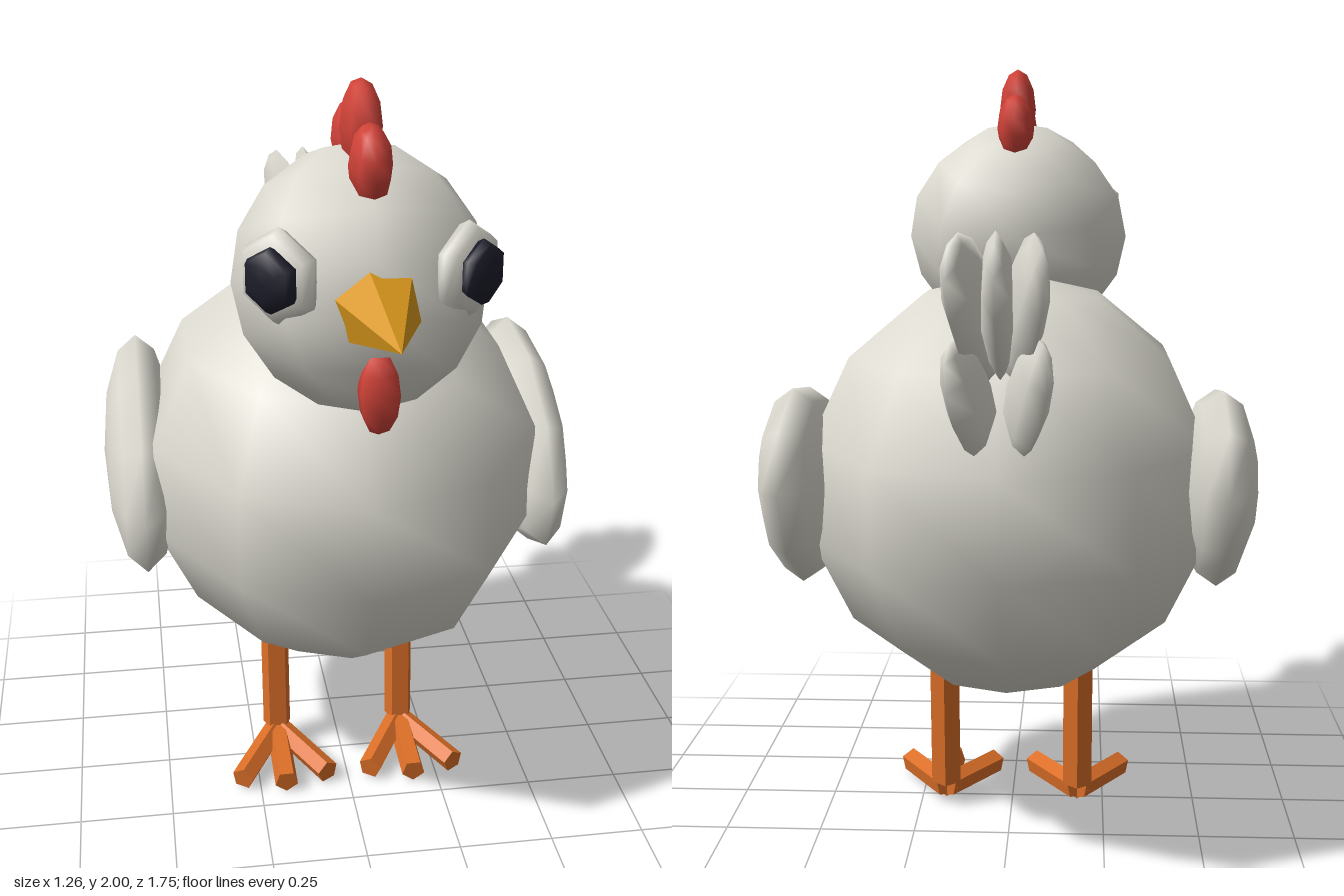
import * as THREE from 'three';

const mat = (name, color, flatShading = false) => {
  const m = new THREE.MeshStandardMaterial({ color, flatShading });
  m.name = name;
  return m;
};

export function createModel() {
  const feather = mat('feather white', 0xdcdad0);
  const red = mat('comb red', 0xcf4238);
  const gold = mat('beak gold', 0xd6961c, true);
  const orange = mat('leg orange', 0xdb6f28, true);
  const dark = mat('pupil dark', 0x1d1d2b);

  const model = new THREE.Group();
  model.name = 'chicken';

  const add = (name, geometry, material, pos = [0, 0, 0], rot = [0, 0, 0]) => {
    const mesh = new THREE.Mesh(geometry, material);
    mesh.name = name;
    mesh.position.set(...pos);
    mesh.rotation.set(...rot);
    model.add(mesh);
    return mesh;
  };

  // low-poly ellipsoid with a vertical pole and a vertex on the z axis
  const ellipsoid = (rx, ry, rz, w, h) =>
    new THREE.SphereGeometry(1, w, h).rotateY(Math.PI / 2).scale(rx, ry, rz);

  // five-sided rod between two points
  const rod = (name, from, to, r) => {
    const a = new THREE.Vector3(...from), b = new THREE.Vector3(...to);
    const dir = b.clone().sub(a);
    const mesh = add(name, new THREE.CylinderGeometry(r, r, dir.length(), 5), orange);
    mesh.position.copy(a).add(b).multiplyScalar(0.5);
    mesh.quaternion.setFromUnitVectors(new THREE.Vector3(0, 1, 0), dir.normalize());
  };

  // body and head
  add('body', ellipsoid(0.54, 0.545, 0.667, 10, 7), feather, [0, 0.92, -0.08]);
  add('head', ellipsoid(0.305, 0.315, 0.3, 8, 8), feather, [0, 1.54, 0.33], [-Math.PI / 8, 0, 0]);

  // comb and wattle
  add('combFront', ellipsoid(0.05, 0.092, 0.088, 8, 6), red, [0, 1.835, 0.455], [0.3, 0, 0]);
  add('combMiddle', ellipsoid(0.05, 0.11, 0.105, 8, 6), red, [0, 1.89, 0.32]);
  add('combBack', ellipsoid(0.05, 0.092, 0.088, 8, 6), red, [0, 1.835, 0.18], [-0.3, 0, 0]);
  add('wattle', ellipsoid(0.052, 0.1, 0.052, 6, 6), red, [0, 1.355, 0.598]);

  // beak
  add('beak', new THREE.ConeGeometry(0.112, 0.31, 6).rotateX(Math.PI / 2).rotateZ(0.25),
    gold, [0, 1.545, 0.708]);

  // six-sided lens facing +z for the eyes
  const lens = (r, t) => new THREE.SphereGeometry(1, 6, 6)
    .rotateX(Math.PI / 2).rotateZ(Math.PI / 2).scale(r, r, t);

  for (const [side, s] of [['left', 1], ['right', -1]]) {
    // eyes
    const yaw = s * 0.8;
    add(side + 'Eye', lens(0.112, 0.05), feather, [s * 0.21, 1.61, 0.52], [0, yaw, 0]);
    add(side + 'Pupil', lens(0.076, 0.036), dark, [s * 0.234, 1.615, 0.564], [0, yaw, 0]);

    // wings
    add(side + 'Wing',
      new THREE.SphereGeometry(1, 10, 6).rotateZ(Math.PI / 2).scale(0.1, 0.255, 0.412),
      feather, [s * 0.53, 0.92, -0.16], [0.32, 0, 0]);

    // legs and toes
    rod(side + 'Leg', [s * 0.18, 0.46, -0.083], [s * 0.18, 0.065, -0.055], 0.041);
    for (const [toe, a] of [['Inner', -0.5], ['Middle', 0], ['Outer', 0.5]]) {
      const x = s * Math.sin(a), z = Math.cos(a);
      rod(side + toe + 'Toe', [s * 0.18, 0.05, -0.055],
        [s * 0.18 + x * 0.25, 0.034, -0.055 + z * 0.25], 0.033);
    }
  }

  // tail feathers: flat leaves leaning back, fanned around the root
  const tailFeather = (name, half, width, pos, lean, yaw) => {
    const mesh = add(name, ellipsoid(0.04, half, width, 6, 6), feather, pos);
    mesh.rotation.order = 'YXZ';
    mesh.rotation.set(-lean, yaw, 0);
  };
  tailFeather('tailMiddle', 0.215, 0.13, [0, 1.425, -0.7], 0.85, 0);
  for (const s of [1, -1]) {
    tailFeather('tailUpper', 0.215, 0.13, [s * 0.055, 1.42, -0.69], 0.85, -s * 0.27);
    tailFeather('tailLower', 0.16, 0.095, [s * 0.065, 1.225, -0.7], 0.6, -s * 0.4);
  }

  return model;
}
